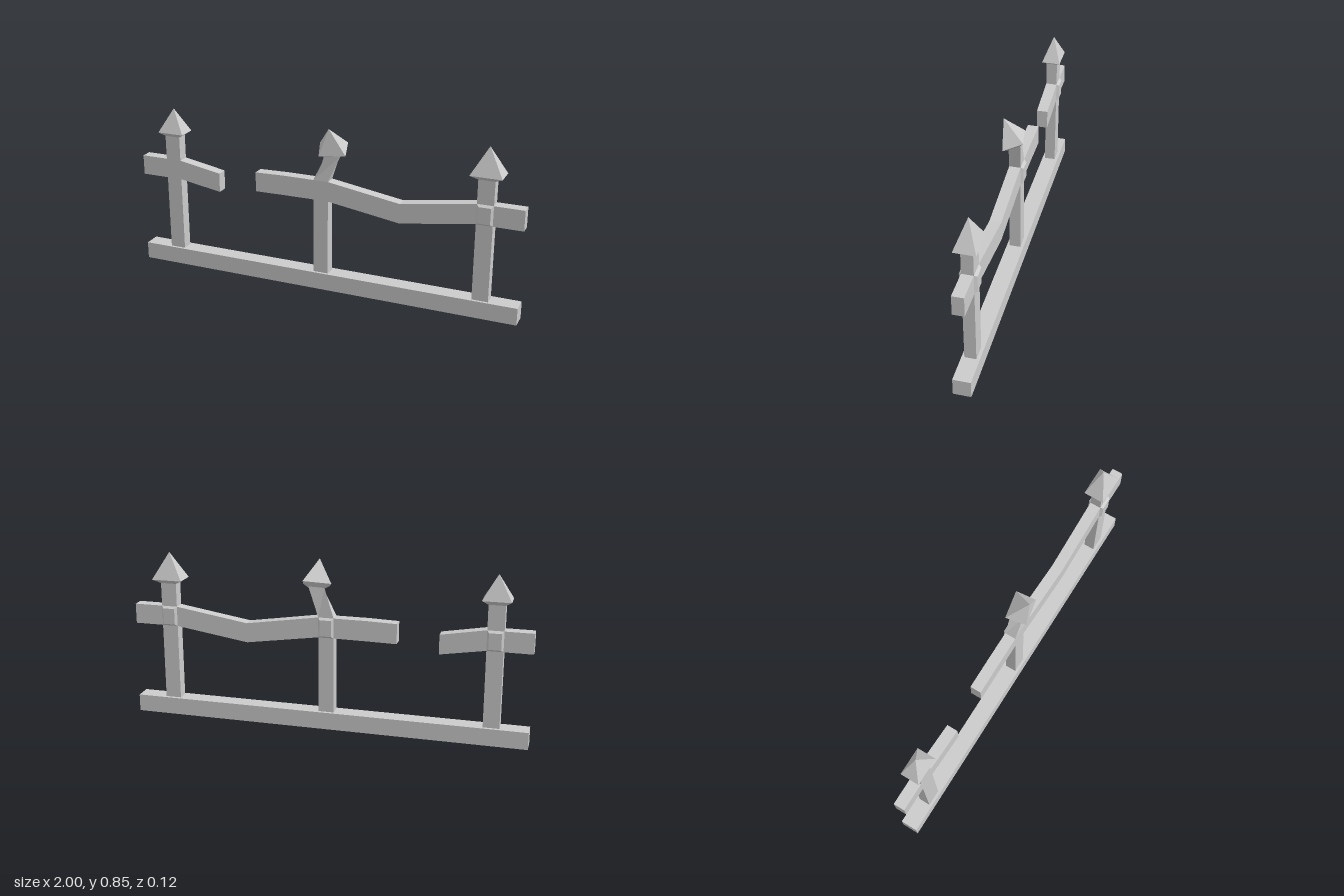
import * as THREE from 'three';

const material = new THREE.MeshStandardMaterial({ color: 0xcccccc, flatShading: true, side: THREE.DoubleSide });

// Skins a list of four-cornered rings, with optional end caps.
function loft(name, rings, capStart = true, capEnd = true) {
  const pos = [];
  const tri = (...pts) => pts.forEach((p) => pos.push(...p));
  const quad = (a, b, c, d) => {
    tri(a, b, c);
    if (c !== d) tri(a, c, d);
  };
  for (let i = 0; i + 1 < rings.length; i++) {
    for (let k = 0; k < 4; k++) {
      const n = (k + 1) % 4;
      quad(rings[i][k], rings[i][n], rings[i + 1][n], rings[i + 1][k]);
    }
  }
  const first = rings[0], last = rings[rings.length - 1];
  if (capStart) quad(first[3], first[2], first[1], first[0]);
  if (capEnd) quad(last[0], last[1], last[2], last[3]);
  const geo = new THREE.BufferGeometry();
  geo.setAttribute('position', new THREE.Float32BufferAttribute(pos, 3));
  geo.computeVertexNormals();
  const mesh = new THREE.Mesh(geo, material);
  mesh.name = name;
  return mesh;
}

// Rings in the horizontal plane, across a rail, and facing front or back.
const level = (y, x0, x1, z0, z1) => [[x0, y, z1], [x1, y, z1], [x1, y, z0], [x0, y, z0]];
const across = (x, y0, y1) => [[x, y0, ZF], [x, y0, ZB], [x, y1, ZB], [x, y1, ZF]];
const facing = (z, x0, x1, y0, y1, s) => {
  const r = [[x0, y0, z], [x1, y0, z], [x1, y1, z], [x0, y1, z]];
  return s > 0 ? r : [r[1], r[0], r[3], r[2]];
};
const point = (p) => [p, p, p, p];

const ZF = 0.025, ZB = -0.031; // front and back of posts and rails
const BASE = 0.087, LOW = 0.472, HIGH = 0.573; // base top, rail bottom and top

// Chamfered block swelling out of a post where the rail crosses it.
function joint(x0, x1, s) {
  const z = s > 0 ? ZF : ZB, c = 0.01;
  return loft(s > 0 ? 'frontJoint' : 'backJoint', [
    facing(z, x0, x1, LOW, HIGH, s),
    facing(z + s * c * 1.3, x0 + c, x1 - c, LOW + c, HIGH - c, s),
  ], false);
}

// Straight post with a pyramid finial on a flared underside.
function straightPost(name, x0, x1, flareX, flareZ, eaveY, tip) {
  const g = new THREE.Group();
  g.name = name;
  const neck = eaveY - 0.02;
  g.add(loft('post', [level(BASE, x0, x1, ZB, ZF), level(neck, x0, x1, ZB, ZF)], false, false));
  g.add(loft('finial', [
    level(neck, x0, x1, ZB, ZF),
    level(eaveY, x0 - flareX, x1 + flareX, ZB - flareZ, ZF + flareZ),
    point([(x0 + x1) / 2, tip, (ZF + ZB) / 2]),
  ], false, false));
  g.add(joint(x0, x1, -1));
  return g;
}

// Middle post, broken above the rail so that its finial leans and twists.
function bentPost(x0, x1) {
  const g = new THREE.Group();
  g.name = 'bentPost';
  const eave = [[0.003, 0.709, 0.06], [0.131, 0.719, 0.034], [0.107, 0.757, -0.06], [-0.03, 0.746, -0.036]];
  const mid = [0.053, 0.733, 0];
  const drop = [0, -0.019, -0.007];
  const neck = eave.map((p) => p.map((v, i) => mid[i] + (v - mid[i]) * 0.56 + drop[i]));
  g.add(loft('post', [
    level(BASE, x0, x1, ZB, ZF), level(HIGH, x0, x1, ZB, ZF), neck,
  ], false, false));
  g.add(loft('finial', [neck, eave, point([0.05, 0.848, 0.047])], false, false));
  g.add(joint(x0, x1, -1));
  return g;
}

export function createModel() {
  const model = new THREE.Group();
  model.name = 'brokenFence';

  // Base beam, open underneath
  model.add(loft('baseBeam', [level(0, -1, 1, -0.047, 0.038), level(BASE, -1, 1, -0.047, 0.038)], false));

  // Posts
  model.add(straightPost('rightPost', -0.86, -0.78, 0.029, 0.019, 0.716, 0.838));
  model.add(bentPost(-0.04, 0.037));
  const leftPost = straightPost('leftPost', 0.775, 0.855, 0.037, 0.024, 0.711, 0.846);
  leftPost.add(joint(0.775, 0.855, 1));
  model.add(leftPost);

  // Rail pieces between the posts: [name, sections, cap start, cap end]
  const rails = [
    ['rightRailEnd', [[-1, LOW, HIGH], [-0.86, LOW, HIGH]], true, false],
    ['rightRailStub', [[-0.78, LOW, HIGH], [-0.557, 0.435, 0.533]], false, true],
    ['middleRailStub', [[-0.352, 0.469, 0.569], [-0.2, 0.471, HIGH], [-0.04, LOW, HIGH]], true, false],
    ['saggingRail', [[0.037, LOW, HIGH], [0.405, 0.416, 0.515], [0.775, LOW, HIGH]], false, false],
    ['leftRailEnd', [[0.855, LOW, HIGH], [1, LOW, HIGH]], false, true],
  ];
  for (const [name, sections, start, end] of rails) {
    model.add(loft(name, sections.map((s) => across(...s)), start, end));
  }
  return model;
}
